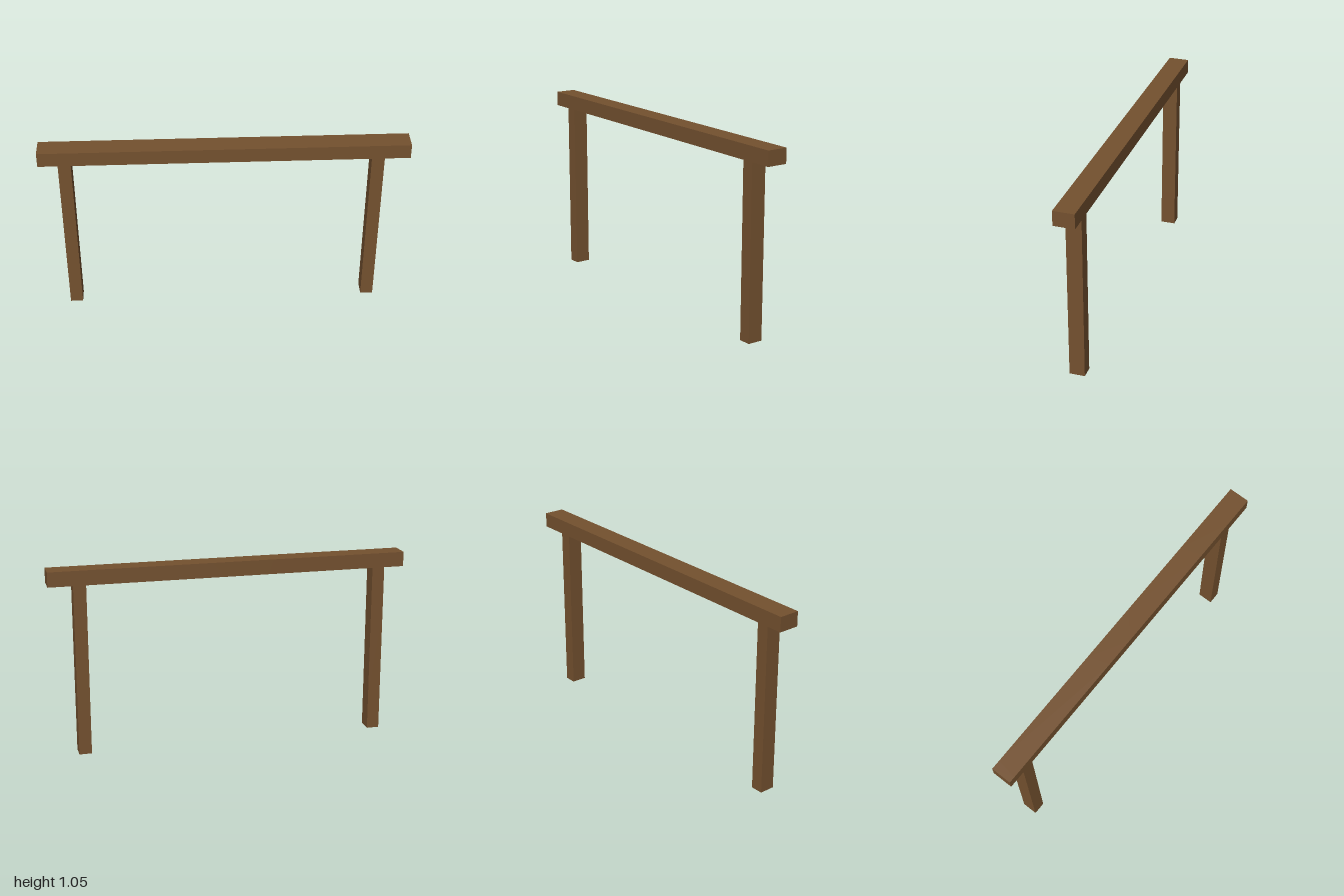
import * as THREE from 'three';

const wood = new THREE.MeshStandardMaterial({ color: 0x74512f, flatShading: true });

// A timber along local y, split into pieces by slanted cracks.
// Each crack is [height, slope along x, slope along z].
function timber(name, width, length, depth, cracks) {
  const group = new THREE.Group();
  group.name = name;
  const ends = [[0, 0, 0], ...cracks, [length, 0, 0]];
  for (let i = 0; i < ends.length - 1; i++) {
    const geometry = new THREE.BoxGeometry(width, 1, depth);
    const p = geometry.attributes.position;
    for (let v = 0; v < p.count; v++) {
      const [at, sx, sz] = p.getY(v) < 0 ? ends[i] : ends[i + 1];
      p.setY(v, at + sx * p.getX(v) + sz * p.getZ(v));
    }
    geometry.computeVertexNormals();
    const piece = new THREE.Mesh(geometry, wood);
    piece.name = `${name}Piece${i + 1}`;
    group.add(piece);
  }
  return group;
}

export function createModel() {
  const model = new THREE.Group();
  model.name = 'woodenFrame';

  // Two upright posts
  const rightPost = timber('rightPost', 0.07, 0.965, 0.085, [[0.205, 0.4, 0.09], [0.692, -0.36, 0.09]]);
  rightPost.position.set(-0.859, 0, 0.002);
  const leftPost = timber('leftPost', 0.07, 0.965, 0.085, [[0.26, -0.1, 0.09], [0.733, 0.15, 0.09]]);
  leftPost.position.set(0.828, 0, 0.002);

  // Crossbeam laid on the posts: local y runs along +x, local x points down
  const beam = timber('crossbeam', 0.082, 2, 0.115, [
    [0.028, -0.4, -0.17],
    [0.795, 0.37, 0.35],
    [1.0, -0.85, -1.14],
    [1.562, -0.2, 0.37],
    [1.87, 0.9, -0.2],
  ]);
  beam.rotation.z = -Math.PI / 2;
  beam.position.set(-1, 1.006, 0);

  model.add(rightPost, leftPost, beam);
  return model;
}
